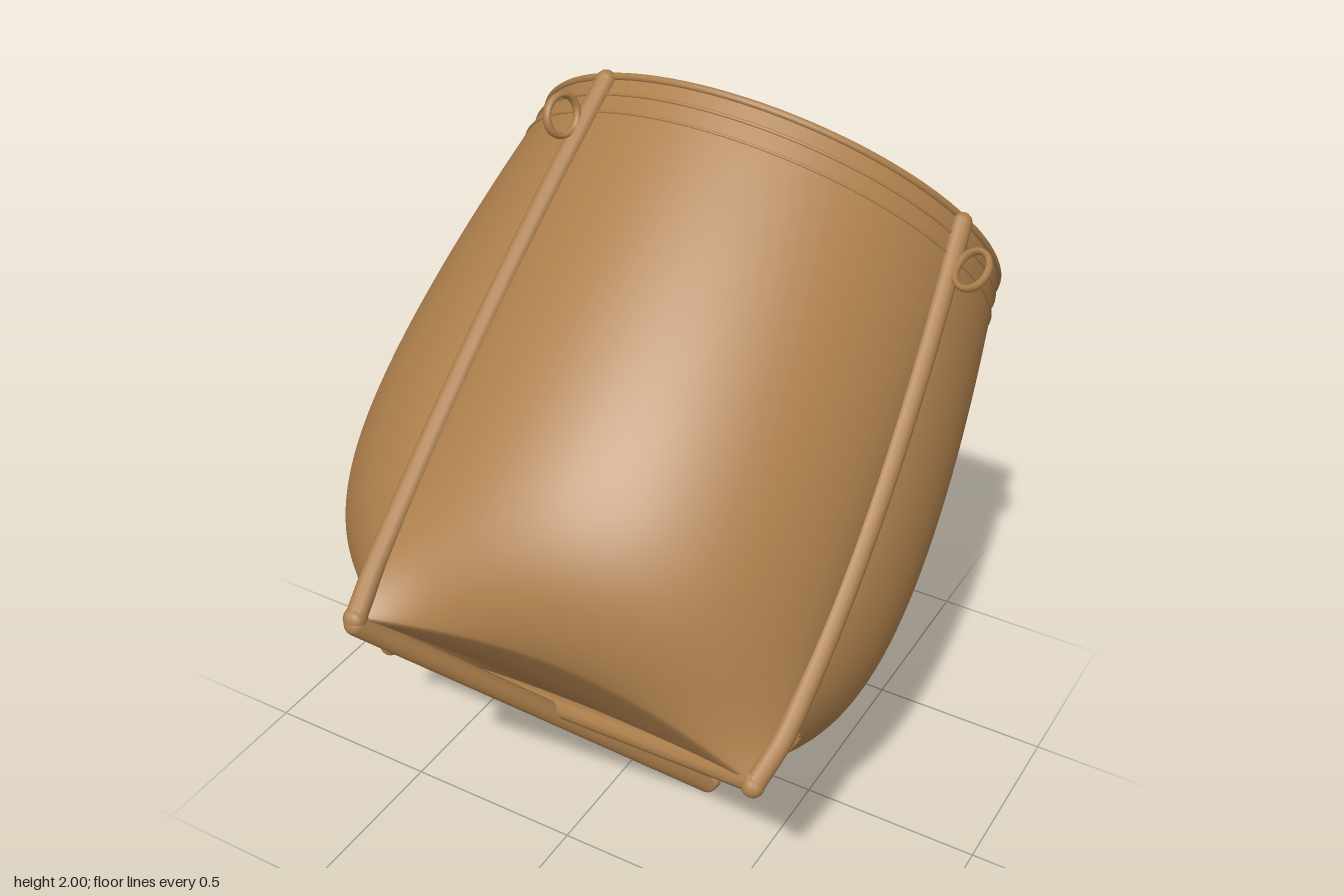
import * as THREE from 'three';

const HEIGHT = 1.49;
const RIM_R = 0.657;
// Base corners (x, z) in order around the axis, and the matching rim angles
const CORNERS = [[0.25, -0.64], [0.65, 0.185], [-0.25, 0.64], [-0.645, -0.235]];
const RIM_ANGLES = [-1.16, 0.37, 1.98, 3.51];
const BASE_ANGLES = CORNERS.map(([x, z], k) => Math.atan2(z, x) + (k === 3 ? Math.PI * 2 : 0));

const lerp = THREE.MathUtils.lerp;
const next = (list, k) => list[(k + 1) % 4] + (k === 3 ? Math.PI * 2 : 0);

// Point on the basket wall: square foot (t = 0) filling out quickly into a round rim (t = 1)
function wall(k, s, t) {
  const a = CORNERS[k], b = CORNERS[(k + 1) % 4];
  const px = lerp(a[0], b[0], s), pz = lerp(a[1], b[1], s);
  const mid = Math.max(Math.sin(Math.PI * s), 0);
  const baseR = Math.hypot(px, pz) + 0.03 * mid;
  let baseA = Math.atan2(pz, px);
  while (baseA < BASE_ANGLES[k] - 0.01) baseA += Math.PI * 2;
  const rimA = lerp(RIM_ANGLES[k], next(RIM_ANGLES, k), s);
  const w = 1 - Math.pow(1 - t, 7);
  const u = Math.pow(t, 0.7);
  const swell = 4 * u * (1 - u);
  const r = lerp(baseR, RIM_R, w) + swell * (0.04 + 0.042 * Math.pow(mid, 0.7));
  const ang = lerp(baseA, rimA, t);
  const arch = 0.075 * mid * Math.pow(1 - t, 6);
  return new THREE.Vector3(
    r * Math.cos(ang) * (1 + 0.035 * swell) + 0.018 * t,
    t * HEIGHT + arch,
    r * Math.sin(ang) * (1 - 0.02 * swell - 0.012 * t));
}

// Floor resting on the crossed bars and rising towards the arched edges
function floor(k, s, u) {
  const p = wall(k, s, 0);
  return new THREE.Vector3(p.x * u, lerp(0.035, p.y, u * u), p.z * u);
}

// Floor and wall as one smooth sheet, with a worn hole beside one corner
function basketGeometry() {
  const side = 72, cols = side * 4, floorRows = 16, wallRows = 90;
  const pos = [], idx = [];
  const rows = floorRows + wallRows;
  for (let i = 0; i <= rows; i++) {
    for (let j = 0; j < cols; j++) {
      const k = Math.floor(j / side), s = (j % side) / side;
      const p = i < floorRows ? floor(k, s, Math.max(i / floorRows, 0.002))
        : wall(k, s, Math.pow((i - floorRows) / wallRows, 1.2));
      pos.push(p.x, p.y, p.z);
    }
  }
  const inHole = (n) => {
    const x = pos[n * 3], y = pos[n * 3 + 1], z = pos[n * 3 + 2];
    return x > 0.4 && ((Math.atan2(z, x) - 0.125) / 0.085) ** 2 + ((y - 0.1) / 0.05) ** 2 < 1;
  };
  for (let i = 0; i < rows; i++) {
    for (let j = 0; j < cols; j++) {
      const j2 = (j + 1) % cols;
      const a = i * cols + j, b = i * cols + j2, c = a + cols, d = b + cols;
      const open = i >= floorRows;
      if (!(open && (inHole(a) || inHole(b) || inHole(c)))) idx.push(a, c, b);
      if (!(open && (inHole(b) || inHole(c) || inHole(d)))) idx.push(b, c, d);
    }
  }
  const g = new THREE.BufferGeometry();
  g.setAttribute('position', new THREE.Float32BufferAttribute(pos, 3));
  g.setIndex(idx);
  g.computeVertexNormals();
  return g;
}

export function createModel() {
  const wicker = new THREE.MeshStandardMaterial({ color: 0xad7f4c, side: THREE.DoubleSide });
  wicker.name = 'wicker brown';
  const model = new THREE.Group();
  model.name = 'basket';
  const body = new THREE.Group();
  body.name = 'tiltedBasket';
  body.position.set(0, 0.515, 0.557);
  body.rotation.x = -0.854;
  model.add(body);

  const add = (name, geometry) => {
    const m = new THREE.Mesh(geometry, wicker);
    m.name = name;
    body.add(m);
    return m;
  };
  const tube = (name, points, radius, closed = false) =>
    add(name, new THREE.TubeGeometry(
      new THREE.CatmullRomCurve3(points, closed), closed ? 128 : 40, radius, 10, closed));
  const knob = (name, p, radius) =>
    add(name, new THREE.SphereGeometry(radius, 12, 8)).position.copy(p);

  add('wovenBody', basketGeometry());

  // Rim binding: a rolled edge and two faint ridges below it
  [[1, 0.01], [0.965, 0.005], [0.93, 0.004]].forEach(([t, radius], n) => {
    const pts = [];
    for (let j = 0; j < 48; j++) pts.push(wall(Math.floor(j / 12), (j % 12) / 12, t));
    tube(n ? 'rimRidge' : 'rimEdge', pts, radius, true);
  });

  // Corner ribs from foot to rim, each with a small carrying loop
  const loopHeights = [0.21, 1.355, 1.33, 0.225];
  for (let k = 0; k < 4; k++) {
    const pts = [];
    for (let i = 0; i <= 12; i++) {
      const p = wall(k, 0, i / 12 * 0.99);
      pts.push(new THREE.Vector3(p.x * 1.01, p.y, p.z * 1.01));
    }
    tube('cornerRib', pts, 0.027);
    knob('ribFoot', pts[0], 0.03);
    knob('ribTop', pts[12], 0.027);

    const at = wall(k, 0, loopHeights[k] / HEIGHT);
    const angle = Math.atan2(at.z, at.x), r = Math.hypot(at.x, at.z) + 0.075;
    const loop = add('carryLoop', new THREE.TorusGeometry(0.047, 0.008, 8, 28));
    loop.position.set(r * Math.cos(angle), at.y, r * Math.sin(angle));
    loop.rotation.y = -angle;
    loop.scale.set(1, 1.1, 1.6);
  }

  // Crossed bars under the floor
  const bar = (k, y) => {
    const ends = [CORNERS[k], CORNERS[k + 2]].map(([x, z]) => new THREE.Vector3(x, y, z));
    tube('floorBar', ends, 0.028);
    ends.forEach((p) => knob('barEnd', p, 0.028));
  };
  bar(0, -0.012);
  bar(1, 0.01);

  return model;
}
